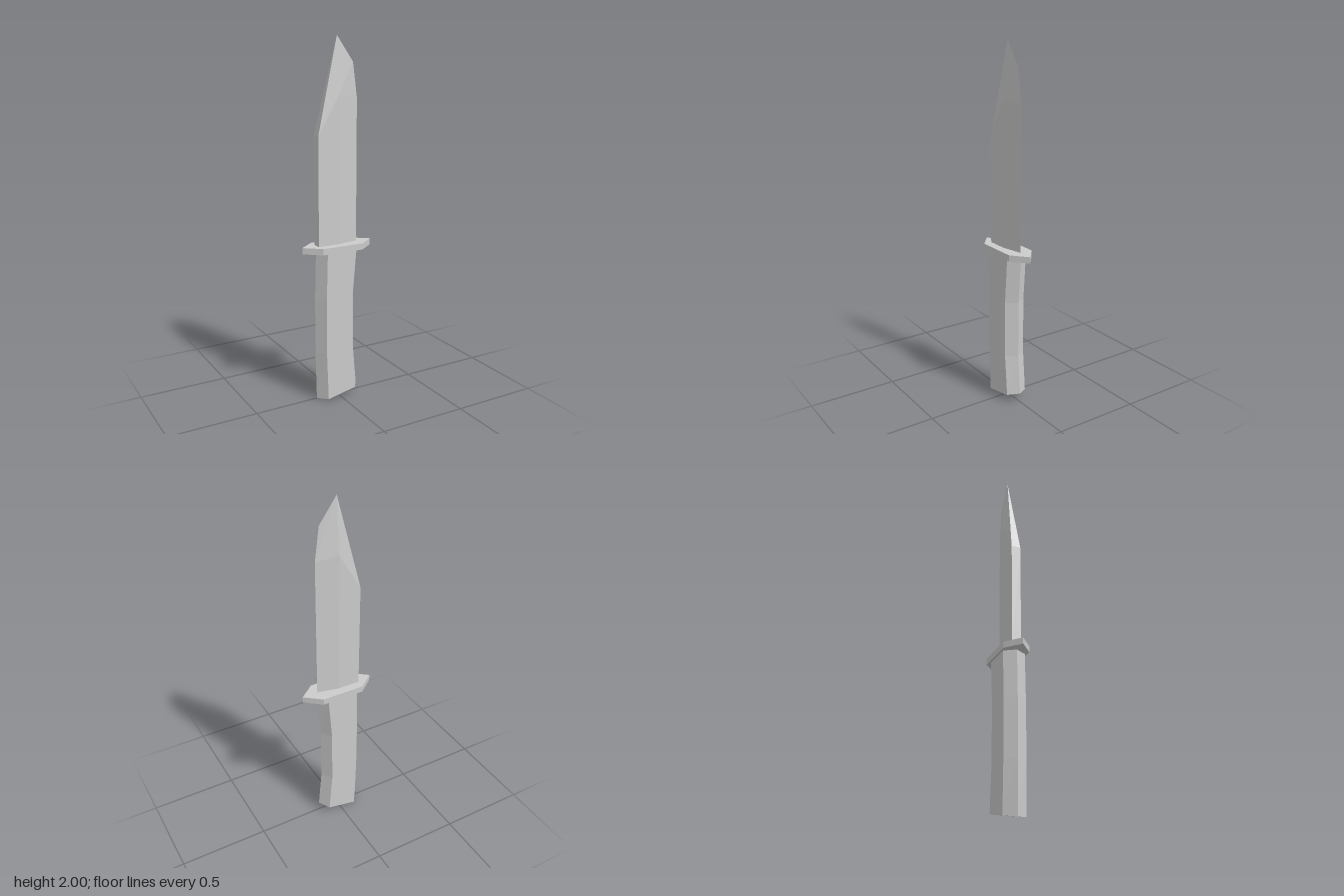
import * as THREE from 'three';

const material = new THREE.MeshStandardMaterial({ color: 0xcccccc, flatShading: true });

// Skins a stack of equal-length rings ([x, y, z] points, listed front side left to right) and caps both ends.
function loft(name, rings) {
  const positions = [];
  const tri = (a, b, c) => {
    const [A, B, C] = [a, b, c].map((p) => new THREE.Vector3(...p));
    if (new THREE.Triangle(A, B, C).getArea() > 1e-7) positions.push(...a, ...b, ...c);
  };
  const n = rings[0].length;
  for (let r = 0; r + 1 < rings.length; r++) {
    for (let i = 0; i < n; i++) {
      const j = (i + 1) % n;
      const low = rings[r], high = rings[r + 1];
      tri(low[i], low[j], high[j]);
      tri(low[i], high[j], high[i]);
    }
  }
  const bottom = rings[0], top = rings[rings.length - 1];
  for (let i = 1; i + 1 < n; i++) {
    tri(bottom[0], bottom[i + 1], bottom[i]);
    tri(top[0], top[i], top[i + 1]);
  }
  const geometry = new THREE.BufferGeometry();
  geometry.setAttribute('position', new THREE.Float32BufferAttribute(positions, 3));
  geometry.computeVertexNormals();
  const mesh = new THREE.Mesh(geometry, material);
  mesh.name = name;
  return mesh;
}

// Six-sided ring pointed at both x ends; yAt gives the height at each x.
function hexRing([x0, x1, x2, x3], halfZ, yAt) {
  return [[x0, 0], [x1, halfZ], [x2, halfZ], [x3, 0], [x2, -halfZ], [x1, -halfZ]]
    .map(([x, z]) => [x, yAt(x), z]);
}

// Blade ring: thick spine at -x, flat cheeks, single cutting edge at +x.
function bladeRing(spineY, cheekY, edgeY) {
  const t = 0.026;
  return [[-0.125, spineY, -t], [-0.125, spineY, t], [0, cheekY, t], [0.122, edgeY, 0], [0, cheekY, -t]];
}

export function createModel() {
  const group = new THREE.Group();
  group.name = 'knife';

  // Blade: straight body, clipped spine and a stepped edge meeting at the tip
  const tip = [0, 2, 0];
  group.add(loft('blade', [
    bladeRing(0.88, 0.88, 0.88),
    bladeRing(1.49, 1.7, 1.68),
    [tip, tip, tip, [0.097, 1.865, 0], tip],
    [tip, tip, tip, tip, tip],
  ]));

  // Guard: flat plate with pointed ends
  const guardX = [-0.212, -0.122, 0.122, 0.212];
  group.add(loft('guard', [0.86, 0.895].map((y) => hexRing(guardX, 0.074, () => y))));

  // Handle: gently bowed grip with a slanted butt
  const waist = [-0.137, -0.097, 0.065, 0.105];
  group.add(loft('handle', [
    hexRing([-0.13, -0.087, 0.085, 0.125], 0.062, (x) => 0.0265 + 0.204 * x),
    hexRing(waist, 0.062, () => 0.28),
    hexRing(waist, 0.062, () => 0.6),
    hexRing([-0.13, -0.09, 0.086, 0.128], 0.062, () => 0.865),
  ]));

  return group;
}
